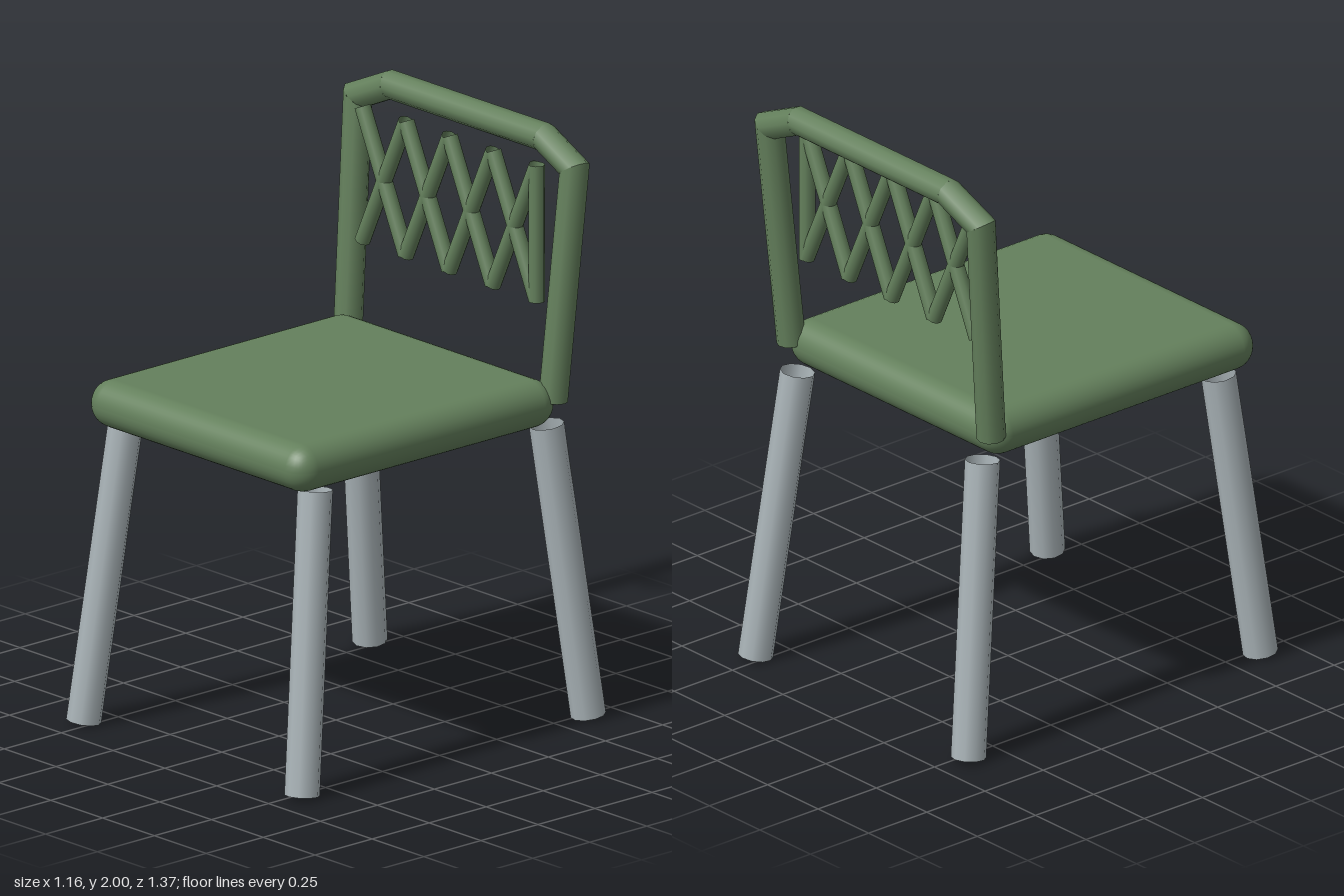
import * as THREE from 'three';
import { RoundedBoxGeometry } from 'three/addons/geometries/RoundedBoxGeometry.js';

const V = (x, y, z) => new THREE.Vector3(x, y, z);
const green = new THREE.MeshStandardMaterial({ color: 0x64805c, side: THREE.DoubleSide });
const metal = new THREE.MeshStandardMaterial({ color: 0xaab4b8, side: THREE.DoubleSide });

// Open tube from a to b; optional cut-plane normals mitre its ends.
function tube(name, a, b, radius, material, cutA, cutB) {
  const dir = b.clone().sub(a);
  const length = dir.length();
  dir.normalize();
  const geo = new THREE.CylinderGeometry(radius, radius, length, 10, 1, true);
  geo.applyQuaternion(new THREE.Quaternion().setFromUnitVectors(V(0, 1, 0), dir));
  const mid = a.clone().add(b).multiplyScalar(0.5);
  geo.translate(mid.x, mid.y, mid.z);
  const pos = geo.attributes.position;
  const v = V(0, 0, 0);
  for (let i = 0; i < pos.count; i++) {
    v.fromBufferAttribute(pos, i);
    const atEnd = v.clone().sub(mid).dot(dir) > 0;
    const cut = atEnd ? cutB : cutA;
    if (!cut) continue;
    const shift = v.clone().sub(atEnd ? b : a).dot(cut) / dir.dot(cut);
    v.addScaledVector(dir, -shift);
    pos.setXYZ(i, v.x, v.y, v.z);
  }
  const mesh = new THREE.Mesh(geo, material);
  mesh.name = name;
  return mesh;
}

export function createModel() {
  const model = new THREE.Group();
  model.name = 'chair';

  // Cushioned seat
  const seat = new THREE.Mesh(new RoundedBoxGeometry(1.06, 0.16, 1.15, 4, 0.078), green);
  seat.name = 'seat';
  seat.position.set(0, 1.095, 0.06);
  model.add(seat);

  // Four splayed legs
  for (const sx of [1, -1]) {
    for (const sz of [1, -1]) {
      const name = (sz > 0 ? 'front' : 'back') + (sx > 0 ? 'Left' : 'Right') + 'Leg';
      model.add(tube(name, V(sx * 0.527, 0.008, sz * 0.627), V(sx * 0.458, 1.01, sz * 0.507), 0.058, metal));
    }
  }

  // Bent backrest frame with mitred corners
  const frame = new THREE.Group();
  frame.name = 'backFrame';
  const half = [V(-0.495, 1.1, -0.502), V(-0.523, 1.883, -0.57), V(-0.37, 1.953, -0.577)];
  const path = [...half, ...half.slice().reverse().map((p) => V(-p.x, p.y, p.z))];
  const dirs = path.slice(1).map((p, i) => p.clone().sub(path[i]).normalize());
  const cuts = path.map((p, i) =>
    (i > 0 && i < path.length - 1 ? dirs[i - 1].clone().add(dirs[i]).normalize() : null));
  const names = ['rightPost', 'rightShoulder', 'topRail', 'leftShoulder', 'leftPost'];
  names.forEach((name, i) =>
    frame.add(tube(name, path[i], path[i + 1], 0.048, green, cuts[i], cuts[i + 1])));
  model.add(frame);

  // Lattice of four crosses, closed by one upright rod
  const lattice = new THREE.Group();
  lattice.name = 'backLattice';
  const low = 1.427, high = 1.884, z = -0.498, r = 0.027, step = 0.21;
  for (let i = 0; i < 4; i++) {
    const x0 = -0.42 + i * step, x1 = x0 + step;
    lattice.add(tube('fallingRod', V(x0, high, z), V(x1, low, z), r, green));
    lattice.add(tube('risingRod', V(x0, low, z), V(x1, high, z), r, green));
  }
  lattice.add(tube('uprightRod', V(0.42, low - 0.005, z), V(0.42, high + 0.005, z), r, green));
  model.add(lattice);

  return model;
}
